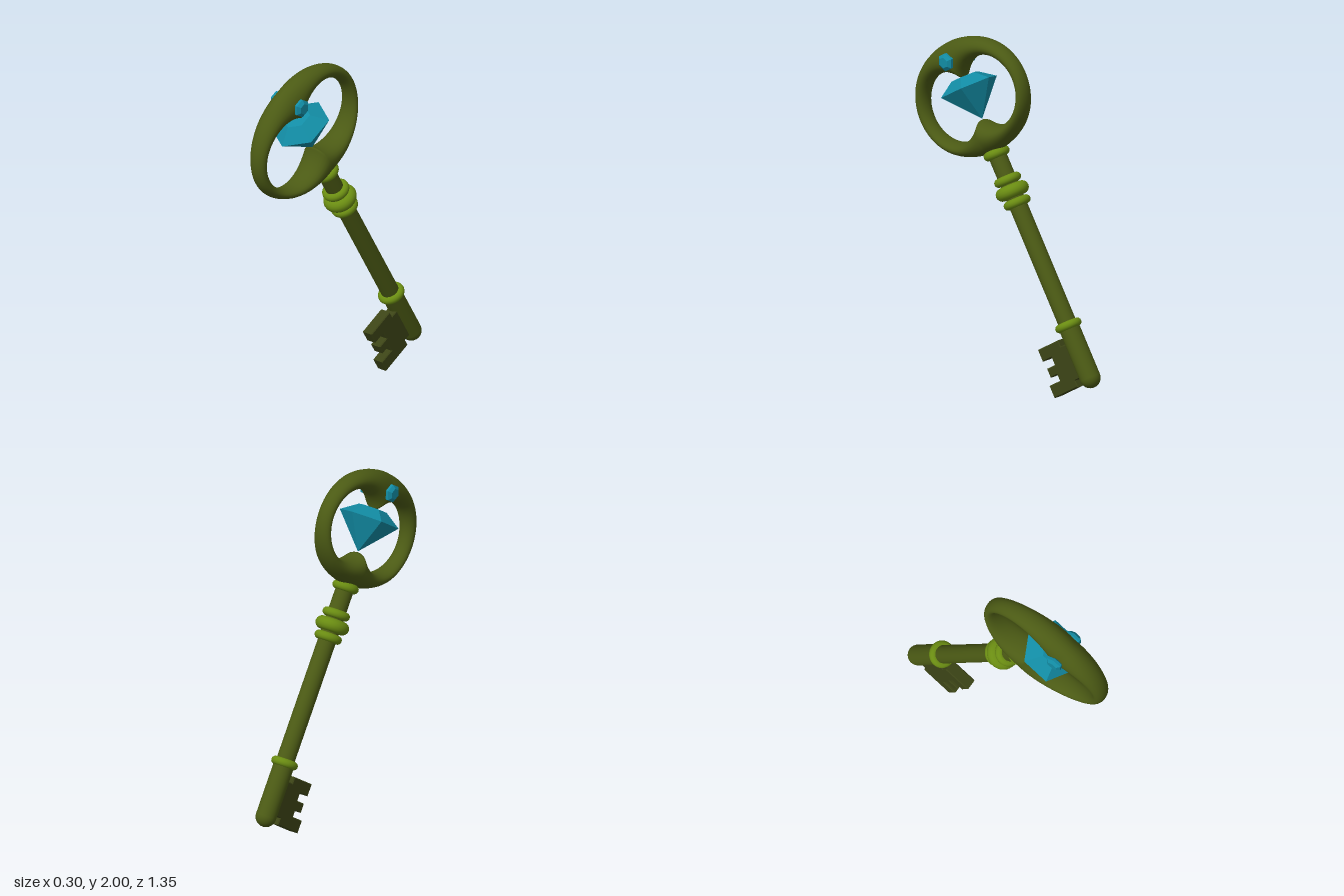
import * as THREE from 'three';

const mat = (color, flat = false) => new THREE.MeshStandardMaterial({ color, flatShading: flat });

function add(parent, name, geometry, material, y = 0) {
  const mesh = new THREE.Mesh(geometry, material);
  mesh.name = name;
  mesh.position.y = y;
  parent.add(mesh);
  return mesh;
}

const lathe = (points, sides) =>
  new THREE.LatheGeometry(points.map(p => new THREE.Vector2(...p)), sides);

// Oval ring whose opening is the union of two circles, swept with an oval section
function bowGeometry() {
  const N = 128, M = 24, A = 0.433, B = 0.337, offset = 0.16, radius = 0.205;
  const outerY = 1.714, holeY = 1.702;
  const pos = [], index = [];
  for (let i = 0; i < N; i++) {
    const th = (i / N) * Math.PI * 2, c = Math.cos(th), s = Math.sin(th);
    const ro = 1 / Math.hypot(c / A, s / B);
    const ri = offset * Math.abs(c) + Math.sqrt(radius ** 2 - (offset * s) ** 2);
    const oz = ro * c, oy = outerY + ro * s, iz = ri * c, iy = holeY + ri * s;
    const thick = 0.05 + (s > 0 ? 0.036 : 0.048) * s * s;
    for (let j = 0; j < M; j++) {
      const ph = (j / M) * Math.PI * 2, k = (1 + Math.cos(ph)) / 2;
      pos.push(thick * Math.sin(ph), iy + (oy - iy) * k, iz + (oz - iz) * k);
      const i2 = (i + 1) % N, j2 = (j + 1) % M;
      const a = i * M + j, b = i * M + j2, d = i2 * M + j, e = i2 * M + j2;
      index.push(a, b, d, b, e, d);
    }
  }
  const g = new THREE.BufferGeometry();
  g.setAttribute('position', new THREE.Float32BufferAttribute(pos, 3));
  g.setIndex(index);
  g.computeVertexNormals();
  return g;
}

// Notched plate: outline drawn as (distance from shaft, height), turned to face along z
function bitGeometry() {
  const outline = [
    [0, 0.02], [0.086, 0.02], [0.086, -0.02], [0.292, -0.02], [0.292, 0.055],
    [0.2, 0.055], [0.2, 0.093], [0.258, 0.093], [0.258, 0.148], [0.189, 0.148],
    [0.189, 0.194], [0.267, 0.194], [0.267, 0.266], [0.089, 0.266], [0.089, 0.228], [0, 0.228],
  ].map(p => new THREE.Vector2(...p));
  const g = new THREE.ExtrudeGeometry(new THREE.Shape(outline), {
    depth: 0.06, bevelThickness: 0.005, bevelSize: 0.005, bevelOffset: -0.005, bevelSegments: 1,
  });
  return g.translate(0, 0, -0.03).rotateY(-Math.PI / 2);
}

export function createModel() {
  const model = new THREE.Group();
  model.name = 'key';
  const metal = mat(0x4b5a14), trim = mat(0x6a8c12), dark = mat(0x3c4416);
  const gem = mat(0x128ca4, true);

  // The key is built upright from the centre of its rounded tip, then tilted
  const key = new THREE.Group();
  key.name = 'tiltedKey';
  key.position.set(0, 0.172, -0.617);
  key.rotation.x = THREE.MathUtils.degToRad(31);
  model.add(key);

  // Shaft and its thicker rounded end
  add(key, 'shaft', new THREE.CylinderGeometry(0.052, 0.052, 1.11, 32), metal, 0.865);
  const tip = [];
  for (let i = 0; i <= 8; i++) {
    const a = (i / 8) * Math.PI / 2;
    tip.push([0.059 * Math.sin(a), -0.059 * Math.cos(a)]);
  }
  add(key, 'shaftEnd', lathe([...tip, [0.059, 0.319]], 32), metal);

  // Rounded collars: height, outer radius, half height
  const collars = [
    ['lowerCollar', 0.319, 0.078, 0.024], ['knobLowerRing', 1.068, 0.08, 0.025],
    ['knob', 1.138, 0.098, 0.038], ['knobUpperRing', 1.206, 0.08, 0.025],
    ['bowCollar', 1.367, 0.077, 0.026],
  ];
  for (const [name, y, r, h] of collars) {
    const ring = new THREE.TorusGeometry(r - h, h, 16, 40).rotateX(Math.PI / 2);
    add(key, name, ring, trim, y);
  }

  add(key, 'bit', bitGeometry(), dark);
  add(key, 'bow', bowGeometry(), metal);

  // Large six-sided cut gem standing on the lower cusp
  add(key, 'largeGem', lathe([[0, 1.578], [0.175, 1.772], [0.082, 1.835], [0, 1.835]], 6), gem);

  // Small gems set in both sides of the upper bow
  for (const side of [1, -1]) {
    const stone = lathe([[0, 0.04], [0.053, 0.085], [0.053, 0.1], [0.032, 0.116], [0, 0.116]], 6);
    const mesh = add(key, side > 0 ? 'leftSmallGem' : 'rightSmallGem', stone, gem, 1.947);
    mesh.rotation.z = -side * Math.PI / 2;
  }
  return model;
}
